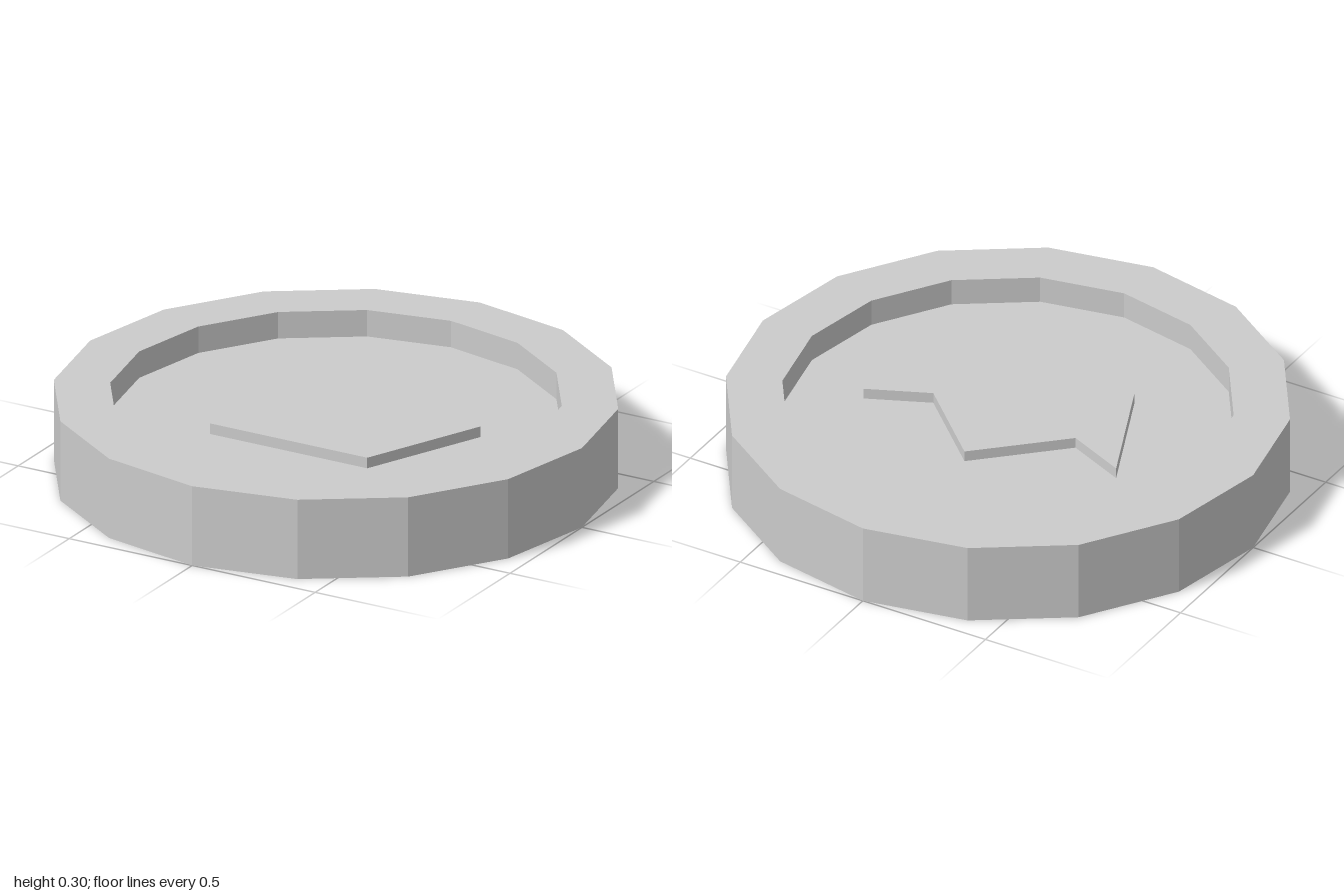
import * as THREE from 'three';

const SIDES = 16;
const HEIGHT = 0.3;
const RECESS = 0.1; // depth of the dished face on each side
const RELIEF = 0.04; // how far the crown stands out of the dish

export function createModel() {
  const coin = new THREE.Group();
  coin.name = 'coin';
  const material = new THREE.MeshStandardMaterial({ color: 0xcccccc, flatShading: true });

  const add = (name, geometry) => {
    const mesh = new THREE.Mesh(geometry, material);
    mesh.name = name;
    coin.add(mesh);
  };

  // Disc with a raised rim on both faces
  const profile = [
    [0, RECESS], [0.8, RECESS], [0.8, 0], [1, 0],
    [1, HEIGHT], [0.8, HEIGHT], [0.8, HEIGHT - RECESS], [0, HEIGHT - RECESS],
  ].map(([r, y]) => new THREE.Vector2(r, y));
  add('rimmedDisc', new THREE.LatheGeometry(profile, SIDES).toNonIndexed());

  // Crown emblem, standing out of both faces
  const half = [[0.32, -0.33], [0.515, 0.125], [0.29, 0.025]];
  const outline = [...half, [0, 0.3], ...half.map(([x, y]) => [-x, y]).reverse()];
  const crown = new THREE.ExtrudeGeometry(
    new THREE.Shape(outline.map(([x, y]) => new THREE.Vector2(x, y))),
    { depth: HEIGHT - 2 * (RECESS - RELIEF), bevelEnabled: false },
  );
  crown.rotateX(-Math.PI / 2).translate(0, RECESS - RELIEF, 0);
  add('crownEmblem', crown);

  return coin;
}
